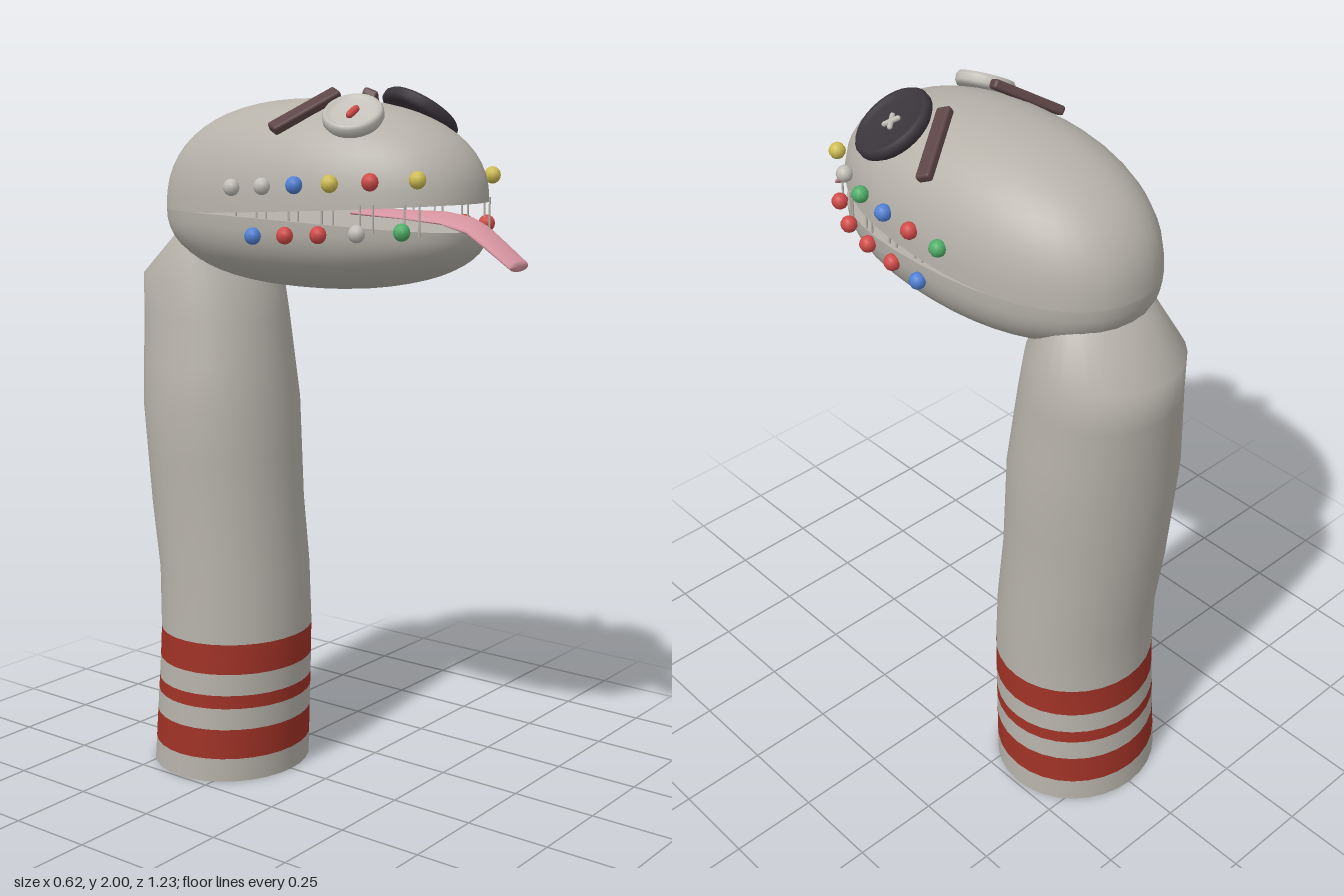
import * as THREE from 'three';
import { RoundedBoxGeometry } from 'three/addons/geometries/RoundedBoxGeometry.js';

const V = (x, y, z) => new THREE.Vector3(x, y, z);

function makeMaterials() {
  const colours = {
    sock: 0xb6b2aa, stripe: 0xa03226, tongue: 0xdb98a4, brow: 0x5c4446, darkButton: 0x3a343b,
    red: 0xd04a48, yellow: 0xcfbd52, blue: 0x5080d4, green: 0x50ae68, white: 0xc2bfb8,
  };
  const mats = {};
  for (const [name, color] of Object.entries(colours)) {
    mats[name] = new THREE.MeshStandardMaterial({ color });
    mats[name].name = name;
  }
  mats.sock.side = mats.stripe.side = THREE.DoubleSide;
  return mats;
}

// Smooth closed rings: point(row, angle) is called for every row and side
function loft(rows, sides, point) {
  const pos = [], index = [];
  for (let i = 0; i < rows; i++)
    for (let j = 0; j < sides; j++) pos.push(...point(i, (j / sides) * Math.PI * 2));
  for (let i = 0; i < rows - 1; i++)
    for (let j = 0; j < sides; j++) {
      const a = i * sides + j, b = i * sides + (j + 1) % sides;
      index.push(a, a + sides, b, b, a + sides, b + sides);
    }
  const geo = new THREE.BufferGeometry();
  geo.setAttribute('position', new THREE.Float32BufferAttribute(pos, 3));
  geo.setIndex(index);
  geo.computeVertexNormals();
  return geo;
}

const power = (v, e) => Math.sign(v) * Math.abs(v) ** e;

// Head outline seen from above, and the lip heights that open towards the front
const outline = (a, r) => [0.28 * r * power(Math.cos(a), 0.9), -0.012 + 0.5 * r * power(Math.sin(a), 0.9)];
const opening = z => THREE.MathUtils.clamp((z + 0.25) / 0.72, 0, 1);
const upperLip = z => 1.66 + 0.04 * opening(z);
const lowerLip = z => 1.66 - 0.03 * opening(z) ** 2;

export function createModel() {
  const model = new THREE.Group();
  const mats = makeMaterials();
  const add = (name, geo, mat, parent = model) => {
    const mesh = new THREE.Mesh(geo, mat);
    mesh.name = name;
    parent.add(mesh);
    return mesh;
  };

  // Sleeve stations: y, centre x, centre z, half width, half depth
  const stations = [
    [0, -0.002, -0.357, 0.243, 0.228], [0.4, 0, -0.335, 0.233, 0.22],
    [0.6, 0.002, -0.341, 0.233, 0.215], [0.8, -0.003, -0.36, 0.231, 0.22],
    [1.1, -0.005, -0.378, 0.24, 0.222], [1.35, 0.005, -0.402, 0.215, 0.21],
    [1.47, 0.01, -0.417, 0.208, 0.2], [1.58, 0.005, -0.385, 0.16, 0.11],
    [1.64, 0, -0.36, 0.12, 0.08],
  ];
  const station = y => {
    const k = Math.max(1, stations.findIndex(s => s[0] >= y));
    const [a, b] = [stations[k - 1], stations[k]];
    return a.map((v, n) => THREE.MathUtils.lerp(v, b[n], (y - a[0]) / (b[0] - a[0])));
  };
  const levels = [0, 0.07, 0.16, 0.225, 0.265, 0.33, 0.42, 0.6, 0.8, 0.95, 1.1, 1.22, 1.35, 1.47, 1.58, 1.64];
  const sleeve = loft(levels.length, 32, (i, a) => {
    const [y, cx, cz, rx, rz] = station(levels[i]);
    return [cx + rx * Math.cos(a), y, cz + rz * Math.sin(a)];
  });
  for (let i = 0; i < levels.length - 1; i++)
    sleeve.addGroup(i * 32 * 6, 32 * 6, i === 1 || i === 3 || i === 5 ? 1 : 0);
  add('sleeve', sleeve, [mats.sock, mats.stripe]);

  // Head: upper dome, lower jaw and the two flat mouth linings
  const head = new THREE.Group();
  head.name = 'head';
  model.add(head);
  const shell = (lip, extreme, from, to) => loft(15, 40, (i, a) => {
    const phi = THREE.MathUtils.lerp(from, to, i / 14);
    const [x, z] = outline(a, Math.max(0, Math.cos(phi)) ** 0.85);
    return [x, lip(z) + (extreme - lip(z)) * Math.abs(Math.sin(phi)) ** 0.87, z];
  });
  const lining = (lip, from, to) => loft(5, 40, (i, a) => {
    const [x, z] = outline(a, THREE.MathUtils.lerp(from, to, i / 4));
    return [x, lip(z), z];
  });
  add('upperHead', shell(upperLip, 1.965, 0, Math.PI / 2), mats.sock, head);
  add('lowerJaw', shell(lowerLip, 1.455, -Math.PI / 2, 0), mats.sock, head);
  add('palate', lining(upperLip, 0, 1), mats.sock, head);
  add('mouthFloor', lining(lowerLip, 1, 0), mats.sock, head);

  // Tongue sections: z, y, half width, half thickness
  const tongue = [
    [0.15, 1.666, 0, 0], [0.15, 1.666, 0.09, 0.007], [0.33, 1.664, 0.12, 0.009], [0.43, 1.654, 0.085, 0.011],
    [0.495, 1.632, 0.06, 0.013], [0.55, 1.595, 0.054, 0.014], [0.618, 1.548, 0.047, 0.014], [0.618, 1.548, 0, 0],
  ];
  add('tongue', loft(tongue.length, 16, (i, a) => {
    const [z, y, w, t] = tongue[i];
    return [w * Math.cos(a), y - t * Math.sin(a), z];
  }), mats.tongue);

  // Beads along both lips, with a thread across the mouth at each
  const beadRows = [
    { side: 1, y: 1.765, z: 0.425, x: [0.176, 0.235, 0.268, 0.279, 0.283, 0.281], colours: 'yellow white green blue red green' },
    { side: -1, y: 1.765, z: 0.425, x: [0.176, 0.235, 0.266, 0.28, 0.283, 0.283], colours: 'yellow red yellow blue white white' },
    { side: 1, y: 1.635, z: 0.395, x: [0.2, 0.253, 0.275, 0.281, 0.286], colours: 'red red red red blue' },
    { side: -1, y: 1.635, z: 0.395, x: [0.2, 0.25, 0.275, 0.281, 0.286], colours: 'green white red red blue' },
  ];
  const beadGeo = new THREE.SphereGeometry(0.023, 10, 8);
  const beads = new THREE.Group(), threads = new THREE.Group();
  beads.name = 'beads';
  threads.name = 'mouthThreads';
  model.add(beads, threads);
  for (const row of beadRows)
    row.colours.split(' ').forEach((colour, i) => {
      const z = row.z - 0.104 * i, x = row.side * row.x[i];
      add('bead', beadGeo, mats[colour], beads).position.set(x, row.y - 0.006 * i, z);
      const height = upperLip(z) - lowerLip(z) + 0.02;
      const thread = add('thread', new THREE.CylinderGeometry(0.003, 0.003, height, 6), mats.sock, threads);
      thread.position.set(x * 0.94, (upperLip(z) + lowerLip(z)) / 2, z);
    });

  // Button eyes, dished with a raised rim
  const button = (name, r, mat, position, normal) => {
    const group = new THREE.Group();
    group.name = name;
    const profile = [[0, -0.02], [r * 0.9, -0.02], [r, -0.008], [r, 0.008], [r * 0.93, 0.017],
      [r * 0.82, 0.016], [r * 0.7, 0.007], [0, 0.005]].map(p => new THREE.Vector2(...p));
    add('buttonDisc', new THREE.LatheGeometry(profile, 28), mat, group);
    group.position.copy(position);
    group.quaternion.setFromUnitVectors(V(0, 1, 0), normal.normalize());
    model.add(group);
    return group;
  };
  const stitch = (parent, mat, radius, length, angle) => {
    const mesh = add('stitch', new THREE.CapsuleGeometry(radius, length, 4, 8).rotateZ(Math.PI / 2), mat, parent);
    mesh.position.y = 0.011;
    mesh.rotation.y = angle;
  };
  const leftEye = button('leftButtonEye', 0.113, mats.darkButton, V(0.166, 1.922, 0.197), V(0.52, 0.82, 0.22));
  stitch(leftEye, mats.white, 0.007, 0.042, 0.6);
  stitch(leftEye, mats.white, 0.007, 0.042, -0.9);
  const rightEye = button('rightButtonEye', 0.08, mats.white, V(-0.163, 1.922, 0.215), V(-0.5, 0.83, 0.22));
  stitch(rightEye, mats.red, 0.01, 0.028, 0);

  // Slanted eyebrows from inner to outer end
  const brow = (name, inner, outer) => {
    const along = outer.clone().sub(inner);
    const length = along.length();
    along.normalize();
    const across = V(0, 0, 1).addScaledVector(along, -along.z);
    across.addScaledVector(V(0, 1, 0), -0.15).addScaledVector(along, -across.dot(along)).normalize();
    across.addScaledVector(along, -across.dot(along)).normalize();
    const mesh = add(name, new RoundedBoxGeometry(length, 0.026, 0.042, 2, 0.008), mats.brow);
    mesh.quaternion.setFromRotationMatrix(
      new THREE.Matrix4().makeBasis(along, across.clone().cross(along), across));
    mesh.position.copy(inner).add(outer).multiplyScalar(0.5);
  };
  brow('leftEyebrow', V(0.092, 1.98, 0.082), V(0.258, 1.885, -0.022));
  brow('rightEyebrow', V(-0.092, 1.98, 0.112), V(-0.248, 1.885, 0.014));

  return model;
}
